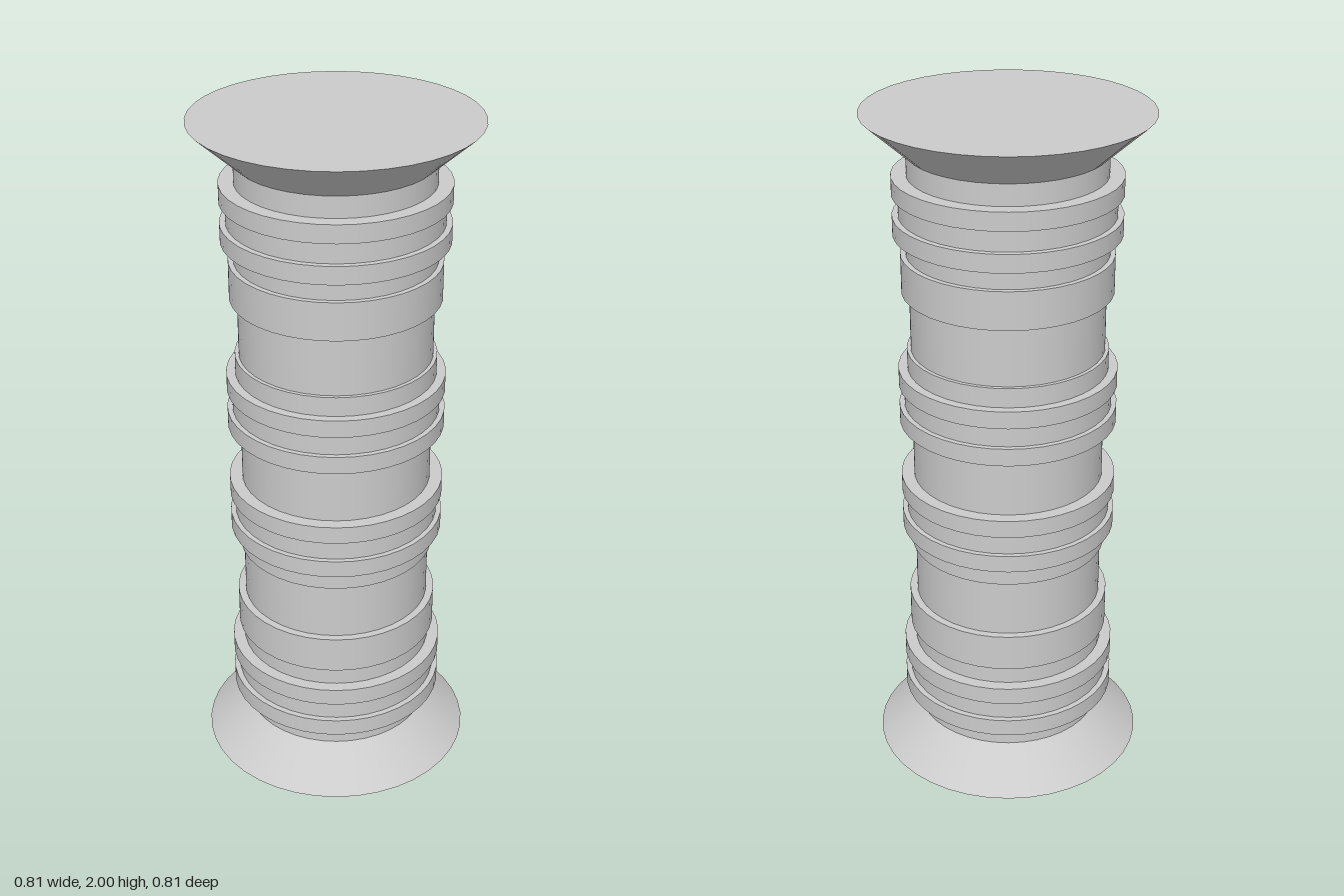
import * as THREE from 'three';

const SIDES = 40;

export function createModel() {
  const group = new THREE.Group();
  group.name = 'column';
  const material = new THREE.MeshStandardMaterial({ color: 0xcccccc });

  // Round section standing between two heights
  function section(name, y0, y1, bottomRadius, topRadius = bottomRadius) {
    const geometry = new THREE.CylinderGeometry(topRadius, bottomRadius, y1 - y0, SIDES);
    const mesh = new THREE.Mesh(geometry, material);
    mesh.name = name;
    mesh.position.y = (y0 + y1) / 2;
    group.add(mesh);
  }

  // Plain core running between the flared ends
  section('shaft', 0.11, 1.89, 0.278);

  // Flared foot and head
  section('flaredFoot', 0, 0.112, 0.403, 0.278);
  section('flaredHead', 1.888, 2, 0.278, 0.403);

  // Collars of the lower half: name, bottom, top, radius
  const collars = [
    ['outerRing', 0.173, 0.226, 0.32],
    ['outerGroove', 0.226, 0.288, 0.303],
    ['outerRing', 0.288, 0.341, 0.32],
    ['neck', 0.341, 0.4, 0.285],
    ['wideBand', 0.4, 0.512, 0.3],
    ['innerStep', 0.687, 0.745, 0.289],
    ['innerRing', 0.745, 0.797, 0.315],
    ['innerGroove', 0.797, 0.859, 0.3],
    ['innerRing', 0.859, 0.912, 0.315],
  ];

  // Each collar is mirrored about mid height
  for (const [name, y0, y1, radius] of collars) {
    section(name + 'Lower', y0, y1, radius);
    section(name + 'Upper', 2 - y1, 2 - y0, radius);
  }

  return group;
}
